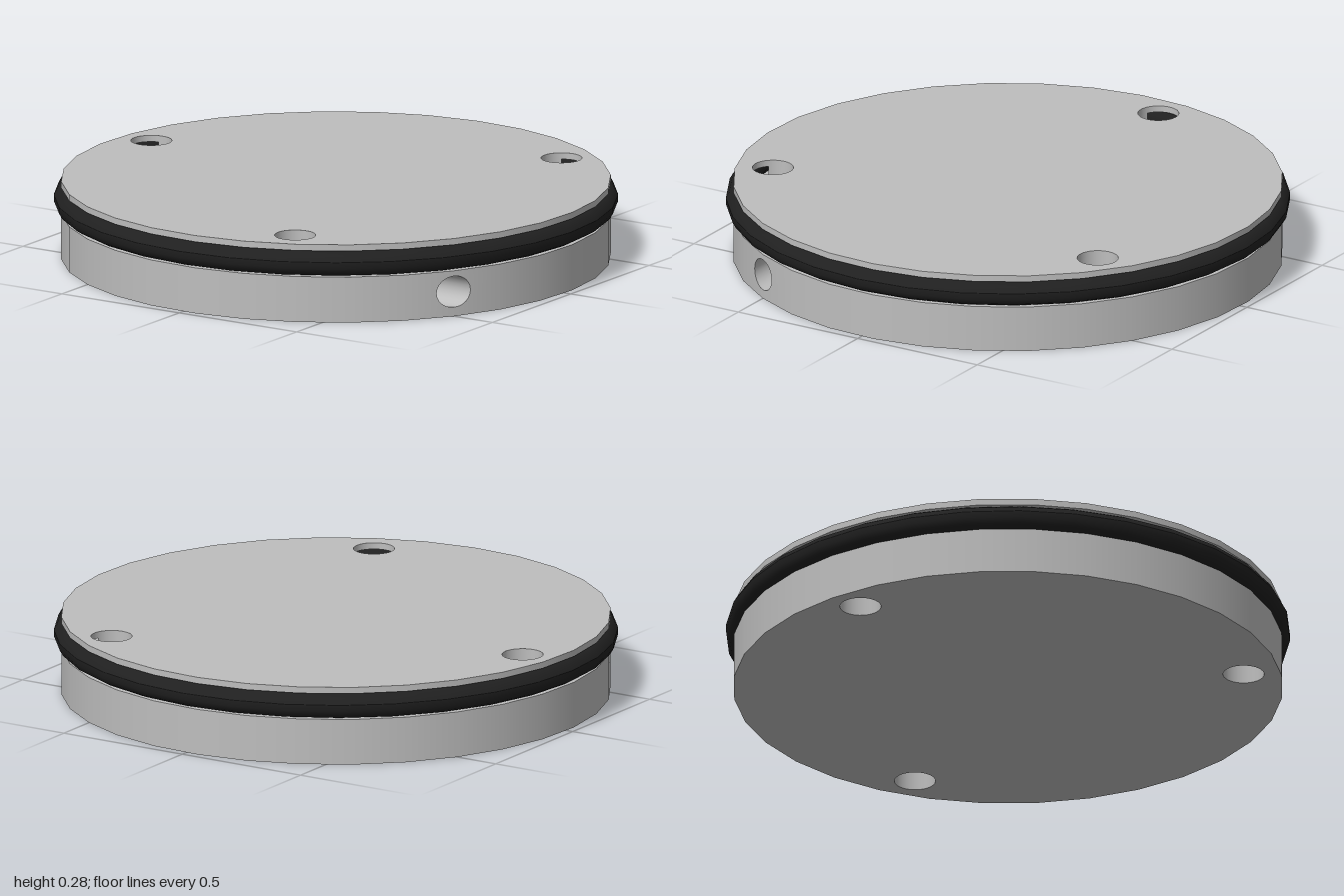
import * as THREE from 'three';

const R = 0.975, SEG = 32, BORE = 0.073;
const Y_LOW = 0.166, Y_UP = 0.261, Y_TOP = 0.284;
const HOLES = [[0.5, -0.69], [-0.85, -0.095], [0.34, 0.77]];
const PORT = { y: 0.09, z: 0.5, r: 0.057, depth: 0.3 };

export function createModel() {
  const group = new THREE.Group();
  const metal = new THREE.MeshStandardMaterial({ color: 0xbebebe, side: THREE.DoubleSide });
  const rubber = new THREE.MeshStandardMaterial({ color: 0x202020 });
  const add = (name, geometry, material = metal) => {
    const mesh = new THREE.Mesh(geometry, material);
    mesh.name = name;
    group.add(mesh);
    return mesh;
  };

  // The wall patch holding the side port spans two rim segments
  const portAngle = Math.asin(PORT.z / R);
  const half = (2 * Math.PI) / SEG;
  const phi0 = Math.PI / 2 - portAngle + half;

  // Flat disc with the three bores, facing up (side 1) or down (side -1)
  const addFace = (name, y, side) => {
    const rim = [];
    for (let i = 0; i < SEG; i++) {
      const a = phi0 + (i * 2 * Math.PI) / SEG;
      rim.push(new THREE.Vector2(R * Math.sin(a), -side * R * Math.cos(a)));
    }
    const shape = new THREE.Shape(rim);
    for (const [x, z] of HOLES) {
      shape.holes.push(new THREE.Path().absarc(x, -side * z, BORE, 0, Math.PI * 2));
    }
    const geometry = new THREE.ShapeGeometry(shape, 16);
    geometry.rotateX(-side * Math.PI / 2).translate(0, y, 0);
    add(name, geometry);
  };
  addFace('bottomFace', 0, -1);
  addFace('grooveLowerFace', Y_LOW, 1);
  addFace('grooveUpperFace', Y_UP, -1);
  addFace('topFace', Y_TOP, 1);

  // Outer walls, the lower one open where the port patch goes
  const wall = (y0, y1, segments, length) => new THREE.LatheGeometry(
    [new THREE.Vector2(R, y0), new THREE.Vector2(R, y1)], segments, phi0, length);
  add('lowerWall', wall(0, Y_LOW, SEG - 2, 2 * Math.PI - 2 * half));
  add('upperWall', wall(Y_UP, Y_TOP, SEG, 2 * Math.PI));

  // Curved wall patch with the port opening
  const a0 = -portAngle - half, a1 = -portAngle + half;
  const patch = new THREE.Shape([
    [a0, 0], [-portAngle, 0], [a1, 0], [a1, Y_LOW], [-portAngle, Y_LOW], [a0, Y_LOW],
  ].map(([u, v]) => new THREE.Vector2(u, v)));
  const opening = [];
  for (let i = 0; i < 24; i++) {
    const t = (i / 24) * Math.PI * 2;
    opening.push([PORT.y + PORT.r * Math.sin(t), PORT.z + PORT.r * Math.cos(t)]);
  }
  patch.holes.push(new THREE.Path(opening.map(([y, z]) => new THREE.Vector2(-Math.asin(z / R), y))));
  const patchGeometry = new THREE.ShapeGeometry(patch);
  const pos = patchGeometry.attributes.position, nor = patchGeometry.attributes.normal;
  for (let i = 0; i < pos.count; i++) {
    const u = pos.getX(i);
    pos.setXYZ(i, R * Math.cos(u), pos.getY(i), -R * Math.sin(u));
    nor.setXYZ(i, Math.cos(u), 0, -Math.sin(u));
  }
  add('portWall', patchGeometry);

  // Blind side port: its mouth follows the curved wall
  const endX = Math.sqrt(R * R - PORT.z * PORT.z) - PORT.depth;
  const tube = new THREE.CylinderGeometry(PORT.r, PORT.r, 1, 24, 1, true);
  tube.rotateZ(-Math.PI / 2);
  const tp = tube.attributes.position;
  for (let i = 0; i < tp.count; i++) {
    const z = tp.getZ(i) + PORT.z;
    const x = tp.getX(i) > 0 ? Math.sqrt(R * R - z * z) : endX;
    tp.setXYZ(i, x, tp.getY(i) + PORT.y, z);
  }
  add('sidePort', tube);
  add('sidePortEnd', new THREE.CircleGeometry(PORT.r, 24).rotateY(Math.PI / 2)
    .translate(endX, PORT.y, PORT.z));

  // Vertical bores, open to the groove on their outer side
  for (const [x, z] of HOLES) {
    const out = Math.atan2(x, z), gap = 1.22;
    const bore = (name, y0, y1, start, length) => add(name,
      new THREE.CylinderGeometry(BORE, BORE, y1 - y0, 32, 1, true, start, length)
        .translate(x, (y0 + y1) / 2, z));
    bore('boreLower', 0, Y_LOW, 0, Math.PI * 2);
    bore('boreMiddle', Y_LOW, Y_UP, out + gap, Math.PI * 2 - 2 * gap);
    bore('boreUpper', Y_UP, Y_TOP, 0, Math.PI * 2);
  }

  // Rubber sealing ring in the groove
  const section = [];
  for (let i = 0; i <= 12; i++) {
    const t = ((i + 0.5) / 12) * Math.PI * 2;
    section.push(new THREE.Vector2(0.957 + 0.0445 * Math.cos(t), 0.2135 + 0.0445 * Math.sin(t)));
  }
  add('sealRing', new THREE.LatheGeometry(section, SEG), rubber);

  return group;
}
